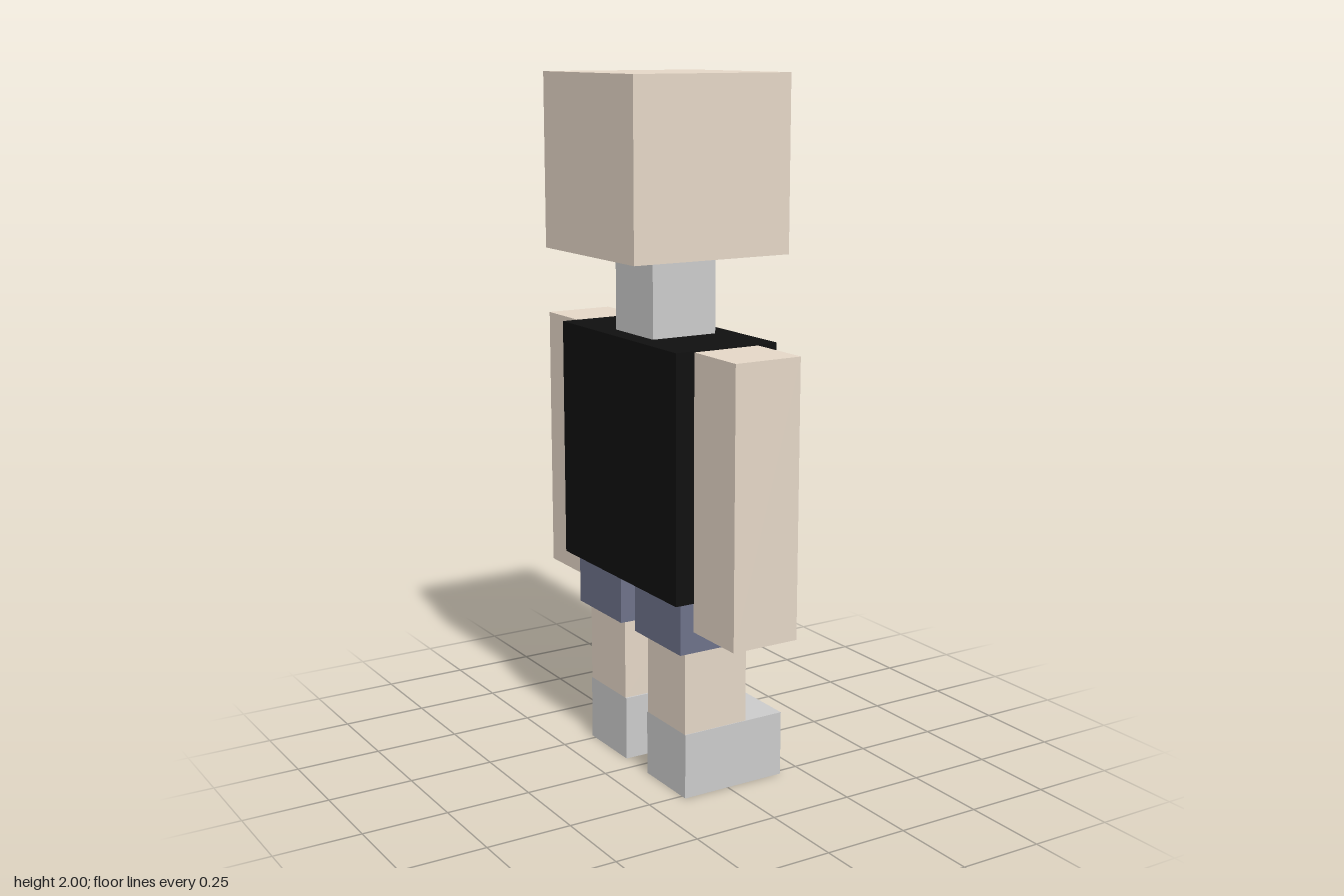
import * as THREE from 'three';
import { ConvexGeometry } from 'three/addons/geometries/ConvexGeometry.js';

const material = (color) => new THREE.MeshStandardMaterial({ color, flatShading: true });

export function createModel() {
  const model = new THREE.Group();
  const skin = material(0xe5d7c7);
  const grey = material(0xcccccc);
  const black = material(0x101010);
  const blue = material(0x6e728a);

  const add = (name, geometry, mat, parent = model) => {
    const mesh = new THREE.Mesh(geometry, mat);
    mesh.name = name;
    parent.add(mesh);
    return mesh;
  };

  // Box given by its limits on each axis
  const block = (name, [x0, x1], [y0, y1], [z0, z1], mat, parent) => {
    const geometry = new THREE.BoxGeometry(x1 - x0, y1 - y0, z1 - z0);
    geometry.translate((x0 + x1) / 2, (y0 + y1) / 2, (z0 + z1) / 2);
    return add(name, geometry, mat, parent);
  };

  // Torso and neck
  block('shirt', [-0.2, 0.12], [0.587, 1.284], [-0.316, 0.311], black);
  block('neck', [-0.143, 0.06], [1.284, 1.511], [-0.103, 0.099], grey);

  // Head: a block with a face plate, the eye sockets cut through the plate
  const head = new THREE.Group();
  head.name = 'head';
  model.add(head);
  const faceX = 0.206, socketDepth = 0.014, backX = faceX - socketDepth;
  block('skull', [-0.286, backX], [1.511, 2], [-0.249, 0.243], skin, head);

  const rectangle = (target, u0, u1, v0, v1) =>
    target.moveTo(u0, v0).lineTo(u1, v0).lineTo(u1, v1).lineTo(u0, v1).closePath();
  const face = rectangle(new THREE.Shape(), -0.243, 0.249, 1.511, 2);
  for (const z of [-0.1, 0.094]) {
    face.holes.push(rectangle(new THREE.Path(), -z - 0.033, -z + 0.033, 1.754, 1.866));
    block('eye', [backX - 0.002, backX + 0.002], [1.766, 1.848], [z - 0.023, z + 0.023], black, head);
  }
  const plate = new THREE.ExtrudeGeometry(face, { depth: socketDepth, bevelEnabled: false });
  plate.rotateY(Math.PI / 2).translate(backX, 0, 0);
  add('face', plate, skin, head);

  // Nose: a wedge with its tip at the bottom
  add('nose', new ConvexGeometry([
    new THREE.Vector3(faceX, 1.757, -0.003),
    new THREE.Vector3(faceX, 1.64, 0.041),
    new THREE.Vector3(faceX, 1.64, -0.047),
    new THREE.Vector3(0.281, 1.64, -0.003),
  ]), skin, head);

  // Limbs, mirrored across z
  for (const side of [-1, 1]) {
    const span = (near, far) => (side > 0 ? [near, far] : [-far, -near]);
    block('arm', [-0.143, 0.06], [0.505, 1.281], span(0.309, 0.508), skin);
    block('shortsLeg', [-0.17, 0.087], [0.434, 0.587], span(0.04, 0.285), blue);
    block('leg', [-0.143, 0.06], [0.19, 0.434], span(0.065, 0.266), skin);
    block('shoe', [-0.143, 0.182], [0, 0.19], span(0.06, 0.268), grey);
  }
  return model;
}
